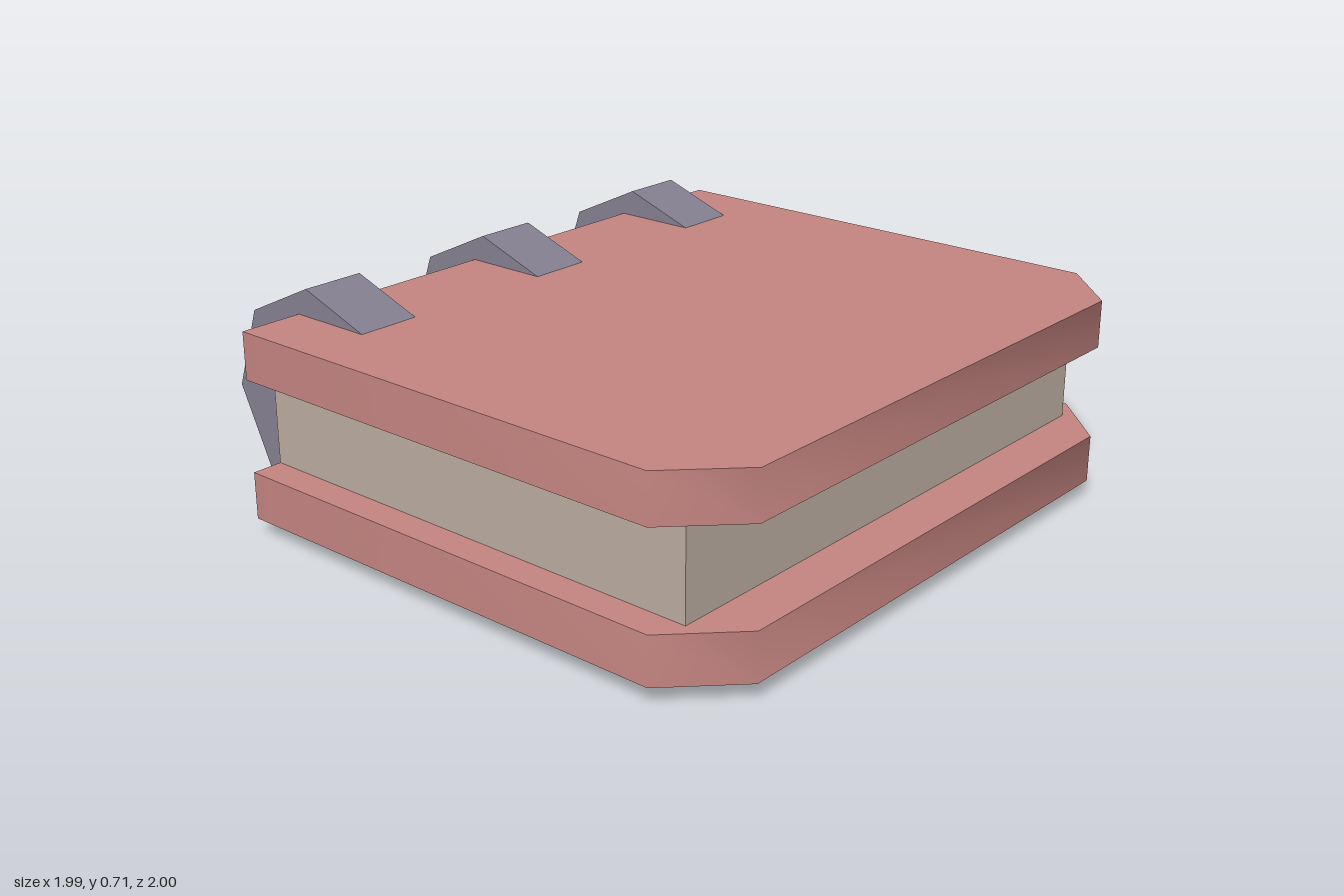
import * as THREE from 'three';
import { toCreasedNormals } from 'three/addons/utils/BufferGeometryUtils.js';

const coverMat = new THREE.MeshStandardMaterial({ name: 'coverRed', color: 0xc58581 });
const pageMat = new THREE.MeshStandardMaterial({ name: 'pageBeige', color: 0xbdaea3 });
const ringMat = new THREE.MeshStandardMaterial({ name: 'ringGrey', color: 0x878292 });

export function createModel() {
  const group = new THREE.Group();
  const add = (name, geometry, material, x, y, z) => {
    const mesh = new THREE.Mesh(geometry, material);
    mesh.name = name;
    mesh.position.set(x, y, z);
    group.add(mesh);
  };

  // Cover outline, with two clipped corners on the opening side
  const outline = new THREE.Shape([
    [-0.7, -1], [0.8, -1], [0.99, -0.81], [0.99, 0.81], [0.8, 1], [-0.7, 1],
  ].map(([x, y]) => new THREE.Vector2(x, y)));
  const slab = new THREE.ExtrudeGeometry(outline, { depth: 0.145, bevelEnabled: false });
  slab.rotateX(-Math.PI / 2);
  const cover = toCreasedNormals(slab, Math.PI / 3); // soft clipped corners, sharp rims
  add('bottomCover', cover, coverMat, 0, 0.052, 0);
  add('topCover', cover, coverMat, 0, 0.481, 0);

  // Page block, flush with the covers at the spine
  add('pages', new THREE.BoxGeometry(1.54, 0.286, 1.81), pageMat, 0.07, 0.339, 0);

  // Eight-sided binding rings along the spine
  const ring = new THREE.CylinderGeometry(0.355, 0.355, 0.2, 8);
  ring.rotateX(Math.PI / 2).rotateZ(0.05);
  for (const z of [-0.7, 0, 0.7]) add('bindingRing', ring, ringMat, -0.643, 0.355, z);

  return group;
}
